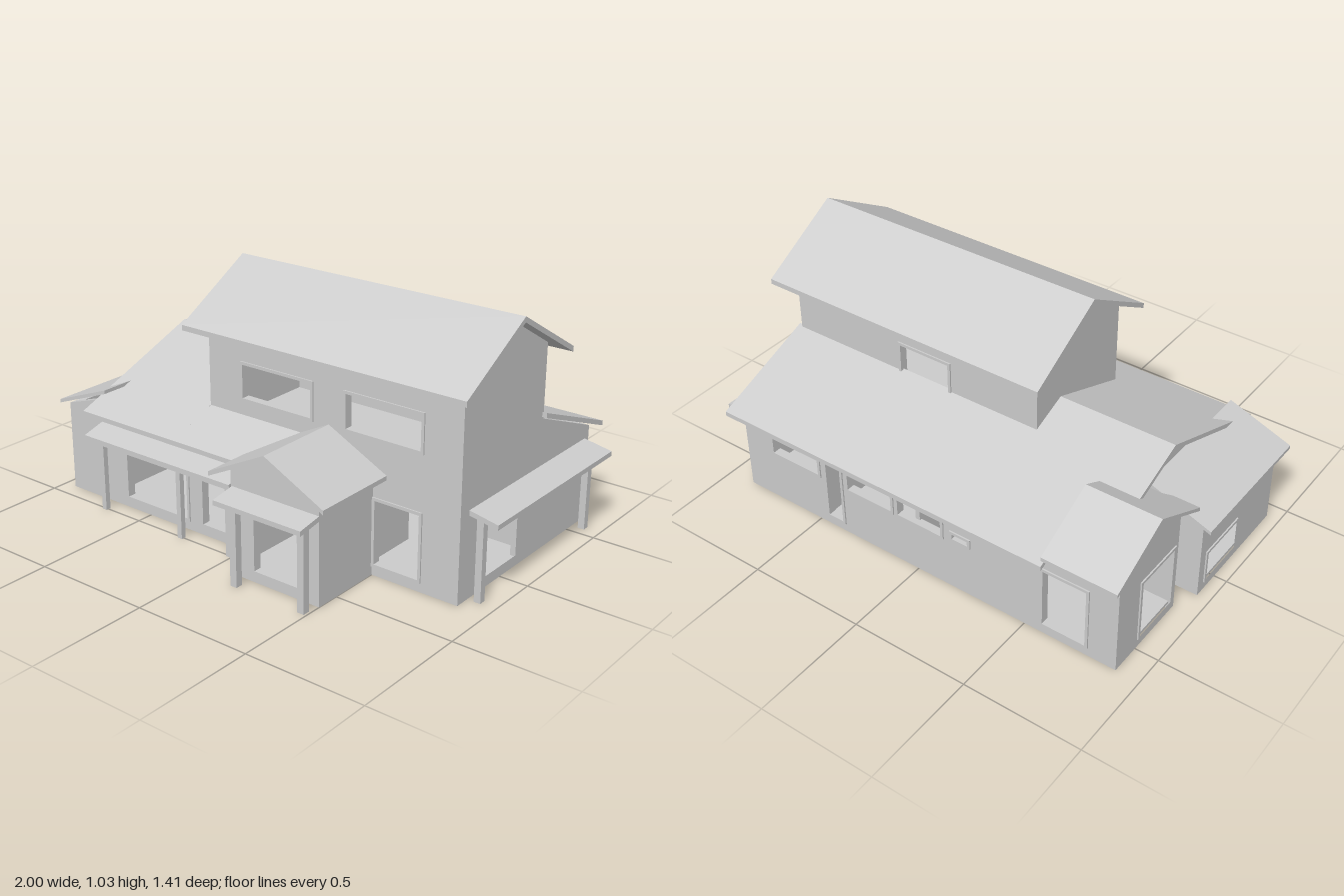
import * as THREE from 'three';

export function createModel() {
  const house = new THREE.Group();
  house.name = 'house';
  const plaster = new THREE.MeshStandardMaterial({ color: 0xcccccc });
  plaster.name = 'plaster grey';

  const add = (name, geo) => {
    const mesh = new THREE.Mesh(geo, plaster);
    mesh.name = name;
    house.add(mesh);
    return mesh;
  };
  const box = (name, x0, x1, y0, y1, z0, z1) =>
    add(name, new THREE.BoxGeometry(x1 - x0, y1 - y0, z1 - z0)
      .translate((x0 + x1) / 2, (y0 + y1) / 2, (z0 + z1) / 2));

  // holes are [u0, u1, y0, y1]
  const rect = ([a, b, c, d]) => [[a, c], [b, c], [b, d], [a, d]];
  const extrude = (pts, holes, depth, sign) => {
    const vec = (list) => list.map(([u, y]) => new THREE.Vector2(u * sign, y));
    const shape = new THREE.Shape(vec(pts));
    holes.forEach((h) => shape.holes.push(new THREE.Path(vec(rect(h)))));
    return new THREE.ExtrudeGeometry(shape, { depth, bevelEnabled: false });
  };
  // profile in (x, y) extruded along z
  const prismZ = (name, pts, z0, z1, holes = []) =>
    add(name, extrude(pts, holes, z1 - z0, 1).translate(0, 0, z0));
  // profile in (z, y) extruded along x
  const prismX = (name, pts, x0, x1, holes = []) =>
    add(name, extrude(pts, holes, x1 - x0, -1).rotateY(Math.PI / 2).translate(x0, 0, 0));

  // walls with a raised frame round every opening
  const T = 0.024, F = 0.012, P = 0.006;
  const framed = (prism, name, pts, a, holes) => {
    prism(name, pts, a, a + T, holes);
    holes.forEach(([u0, u1, y0, y1]) =>
      prism('openingFrame', rect([u0, u1, y0, y1]), a - P, a + T + P,
        [[u0 + F, u1 - F, y0 + F, y1 - F]]));
  };
  const wallZ = (name, pts, z, holes = []) => framed(prismZ, name, pts, z, holes);
  const wallX = (name, pts, x, holes = []) => framed(prismX, name, pts, x, holes);

  // roof slab profile: top line plus the same line dropped by t
  const slab = (top, t) => [...top, ...top.map(([u, y]) => [u, y - t]).reverse()];

  // ---- floors
  box('floor', -0.73, 0.87, 0.025, 0.037, -0.62, 0.28);
  box('wingFloor', -0.73, 0.09, 0.025, 0.037, 0.28, 0.42);
  box('entryFloor', 0.09, 0.5, 0.025, 0.037, 0.28, 0.59);
  box('sideRoomFloor', -0.935, -0.73, 0.025, 0.037, -0.12, 0.42);
  box('cornerRoomFloor', -0.89, -0.73, 0.025, 0.037, -0.62, -0.24);
  box('upperFloor', -0.28, 0.87, 0.39, 0.41, -0.25, 0.275);

  // ---- two-storey block
  wallZ('frontWall', [[-0.29, 0.4], [0.48, 0.4], [0.48, 0], [0.88, 0], [0.88, 0.85], [-0.29, 0.85]],
    0.285 - T, [[-0.13, 0.225, 0.545, 0.705], [0.365, 0.72, 0.545, 0.705], [0.5, 0.72, 0.037, 0.32]]);
  wallZ('upperBackWall', rect([-0.29, 0.88, 0.4, 0.85]), -0.26, [[0.11, 0.365, 0.55, 0.71]]);
  wallX('rightWall', [[0.285, 0], [-0.63, 0], [-0.63, 0.405], [-0.26, 0.55], [-0.26, 0.85],
    [0.0125, 1.008], [0.285, 0.85]], 0.88 - T,
  [[-0.11, 0.13, 0.037, 0.32], [-0.485, -0.235, 0.22, 0.32]]);
  wallX('upperLeftWall', [[0.285, 0.4], [-0.26, 0.4], [-0.26, 0.85], [0.0125, 1.008], [0.285, 0.85]], -0.29);
  prismX('upperRoof', slab([[0.37, 0.825], [0.0125, 1.03], [-0.345, 0.825]], 0.022), -0.35, 0.94);

  // ---- long low wing
  wallZ('wingFrontWall', [[-0.945, 0], [0.09, 0], [0.09, 0.405], [-0.73, 0.405], [-0.79, 0.43], [-0.945, 0.38]],
    0.43 - T, [[-0.63, -0.28, 0.037, 0.32], [-0.22, -0.03, 0.037, 0.32]]);
  wallZ('backWall', [[-0.9, 0], [0.88, 0], [0.88, 0.405], [-0.62, 0.405], [-0.62, 0.465], [-0.9, 0.465]], -0.63,
    [[0.48, 0.74, 0.22, 0.315], [0.365, 0.46, 0.037, 0.32], [0.11, 0.35, 0.22, 0.315],
      [-0.13, 0.1, 0.22, 0.315], [-0.255, -0.16, 0.235, 0.28], [-0.78, -0.57, 0.037, 0.32]]);
  wallX('wingLeftWall', [[-0.23, 0], [0.43, 0], [0.43, 0.405], [-0.105, 0.612], [-0.23, 0.565]], -0.73);
  prismX('wingRoofFront', slab([[0.5, 0.403], [-0.105, 0.637]], 0.02), -0.79, -0.29);
  prismX('wingRoofLower', slab([[0.5, 0.403], [0.285, 0.486]], 0.02), -0.29, 0.2);
  prismX('wingRoofBack', slab([[-0.105, 0.637], [-0.34, 0.546]], 0.02), -0.79, -0.29);
  prismX('wingRoofBackMiddle', slab([[-0.34, 0.546], [-0.705, 0.405]], 0.02), -0.62, -0.29);
  prismX('wingRoofBackLong', slab([[-0.25, 0.58], [-0.705, 0.405]], 0.02), -0.29, 0.9);

  // ---- corner room with a small gable
  wallX('cornerEndWall', [[-0.63, 0], [-0.23, 0], [-0.23, 0.465], [-0.43, 0.575], [-0.63, 0.465]], -0.9,
    [[-0.49, -0.25, 0.037, 0.32]]);
  wallZ('cornerFrontWall', rect([-0.9, -0.71, 0, 0.465]), -0.23 - T);
  prismX('cornerGableInfill', [[-0.63, 0.41], [-0.63, 0.47], [-0.43, 0.577], [-0.34, 0.53]], -0.66, -0.64);
  prismX('cornerRoof', slab([[-0.155, 0.45], [-0.43, 0.592], [-0.705, 0.45]], 0.016), -0.935, -0.62);

  // ---- lean-to room on the side
  wallX('sideRoomWall', rect([-0.13, 0.43, 0, 0.38]), -0.945, [[-0.09, 0.15, 0.037, 0.19]]);
  wallZ('sideRoomBackWall', [[-0.945, 0], [-0.73, 0], [-0.73, 0.46], [-0.945, 0.38]], -0.13);
  prismZ('sideRoomRoof', slab([[-1, 0.383], [-0.73, 0.485]], 0.015), -0.18, 0.435);

  // ---- entry porch
  [0.09, 0.5 - T].forEach((x) => wallX('entrySideWall', rect([0.27, 0.6, 0, 0.43]), x));
  wallZ('entryFrontWall', [[0.09, 0], [0.5, 0], [0.5, 0.43], [0.295, 0.53], [0.09, 0.43]],
    0.6 - T, [[0.19, 0.42, 0.037, 0.325]]);
  prismZ('entryRoof', slab([[0.03, 0.42], [0.295, 0.552], [0.56, 0.42]], 0.018), 0.27, 0.655);
  prismX('entryCanopy', slab([[0.6, 0.36], [0.705, 0.342]], 0.02), 0.095, 0.5);

  // ---- verandas
  prismX('frontVerandaRoof', slab([[0.42, 0.36], [0.545, 0.325]], 0.022), -0.74, 0.03);
  prismZ('rightVerandaRoof', slab([[0.87, 0.36], [1, 0.335]], 0.02), -0.6, 0.23);

  const post = (x, z, w, h) => box('post', x - w / 2, x + w / 2, 0, h, z - w / 2, z + w / 2);
  [-0.685, -0.265, -0.012].forEach((x) => post(x, 0.5, 0.022, 0.325));
  [0.16, 0.475].forEach((x) => post(x, 0.66, 0.03, 0.34));
  [0.207, -0.555].forEach((z) => post(0.922, z, 0.028, 0.34));

  // ---- staircase
  for (let i = 0; i < 8; i++) {
    const z = 0.15 - i * 0.04;
    box('stair', 0.245, 0.345, 0.03, 0.08 + i * 0.042, z - 0.04, z);
  }

  // ---- partitions [x0, x1, z0, z1], running down past the floor
  [[-0.73, 0.18, -0.12, -0.1], [0.47, 0.87, -0.2, -0.18], [-0.3, -0.28, -0.1, 0.2],
    [0.0, 0.02, -0.61, -0.36], [0.46, 0.48, -0.61, -0.37], [-0.45, -0.43, -0.61, -0.4],
    [0.46, 0.48, 0.02, 0.27], [0.1, 0.12, -0.1, 0.1], [-0.45, -0.2, -0.42, -0.4]]
    .forEach(([x0, x1, z0, z1]) => box('partition', x0, x1, 0, 0.39, z0, z1));

  return house;
}
